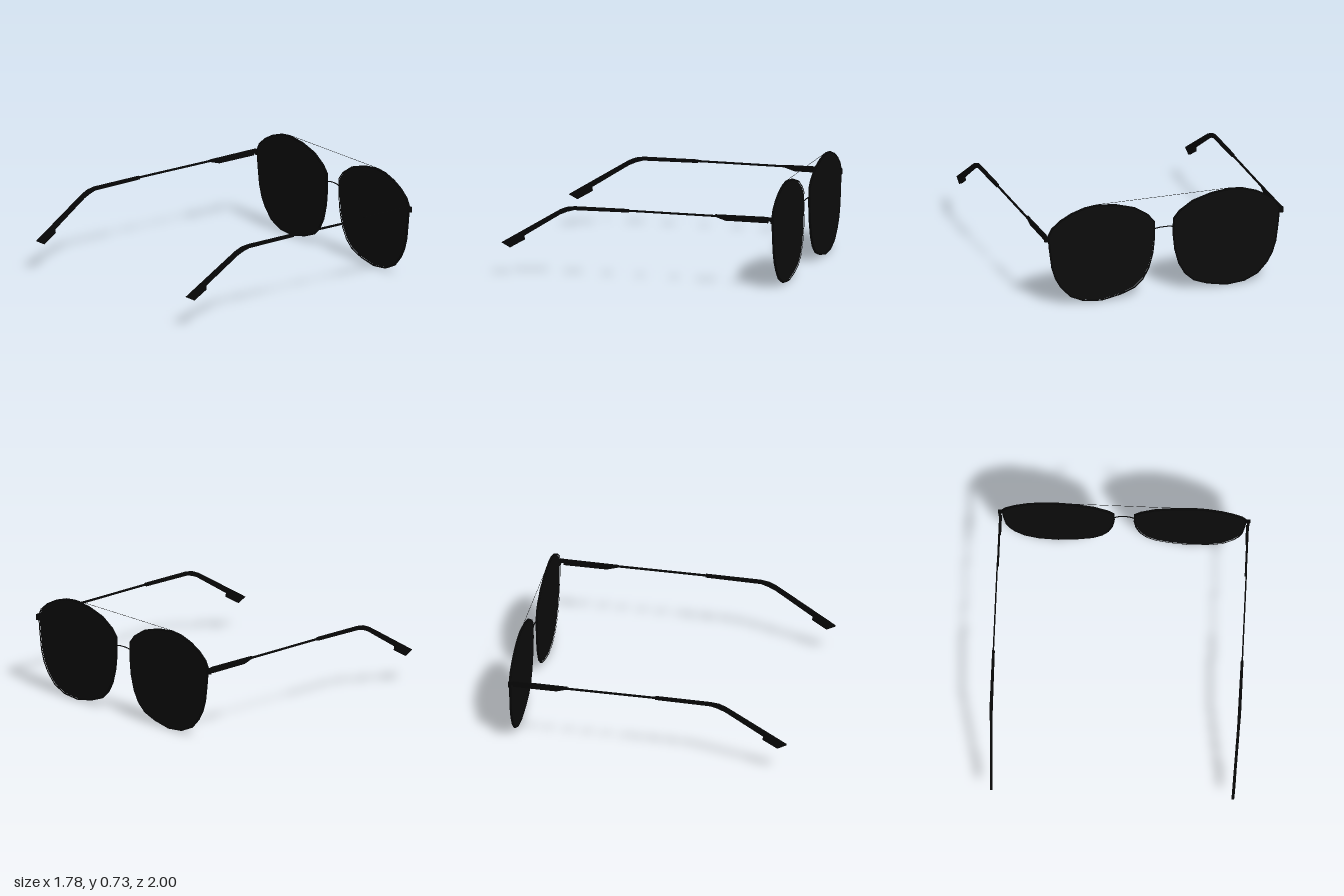
import * as THREE from 'three';

const frameBlack = new THREE.MeshStandardMaterial({ color: 0x060606 });
frameBlack.name = 'frame black';
const lensBlack = new THREE.MeshStandardMaterial({ color: 0x0c0c0c });
lensBlack.name = 'lens smoke black';

// lens outline for the +x side, as [x, y]
const OUTLINE = [
  [0.865, 0.54], [0.856, 0.435], [0.837, 0.29], [0.81, 0.205], [0.77, 0.135], [0.70, 0.06],
  [0.60, 0.015], [0.465, 0.002], [0.32, 0.03], [0.22, 0.067], [0.155, 0.125], [0.11, 0.205],
  [0.08, 0.315], [0.067, 0.435], [0.07, 0.555], [0.115, 0.61], [0.215, 0.675], [0.355, 0.716],
  [0.50, 0.732], [0.59, 0.722], [0.69, 0.69], [0.775, 0.645], [0.84, 0.59],
];
const CENTRE = [0.465, 0.37];

// temple side profiles, as [z, y]
const PROFILES = {
  templeFront: { width: 0.014, x: 0.875, points: [
    [-0.965, 0.543], [-0.965, 0.5], [-0.652, 0.5], [-0.62, 0.51], [-0.575, 0.524], [-0.575, 0.54]] },
  templeWire: { width: 0.01, x: 0.879, points: [
    [-0.6, 0.536], [-0.6, 0.523], [0.08, 0.523], [0.08, 0.536]] },
  templeEnd: { width: 0.019, x: 0.878, points: [
    [0.06, 0.54], [0.06, 0.518], [0.46, 0.512], [0.51, 0.497], [0.56, 0.475], [0.6, 0.45],
    [0.834, 0.3], [0.83, 0.273], [0.936, 0.21], [1.0, 0.243], [0.62, 0.476], [0.567, 0.508],
    [0.52, 0.528], [0.46, 0.537]] },
};

function mesh(name, geometry, material, parent) {
  const m = new THREE.Mesh(geometry, material);
  m.name = name;
  parent.add(m);
  return m;
}

// outline mirrored to a side and shrunk towards its middle
function outline(side, inset) {
  return OUTLINE.map(([x, y]) => {
    const dx = x - CENTRE[0], dy = y - CENTRE[1];
    const k = 1 - inset / Math.hypot(dx, dy);
    return new THREE.Vector2(side * (CENTRE[0] + dx * k), CENTRE[1] + dy * k);
  });
}

function plate(shape, depth, z) {
  const g = new THREE.ExtrudeGeometry(shape, { depth, bevelEnabled: false });
  g.translate(0, 0, z - depth / 2);
  return g;
}

// side profile given width, with the far end leaning inwards
function templePart({ width, x, points }, side) {
  const shape = new THREE.Shape(points.map(([z, y]) => new THREE.Vector2(z, y)));
  const g = plate(shape, width, 0);
  g.rotateY(-Math.PI / 2);
  const p = g.attributes.position;
  for (let i = 0; i < p.count; i++) {
    const lean = Math.max(0, p.getZ(i) - 0.46) * 0.048;
    p.setX(i, p.getX(i) + side * (x - lean));
  }
  g.computeVertexNormals();
  return g;
}

export function createModel() {
  const model = new THREE.Group();
  model.name = 'sunglasses';

  for (const side of [1, -1]) {
    const label = side > 0 ? 'left' : 'right';

    // lens with its thin rim
    const rim = new THREE.Shape(outline(side, 0));
    rim.holes.push(new THREE.Path(outline(side, 0.011)));
    mesh(label + 'Rim', plate(rim, 0.014, -0.991), frameBlack, model);
    mesh(label + 'Lens', plate(new THREE.Shape(outline(side, 0.01)), 0.007, -0.991), lensBlack, model);

    // end piece joining rim and temple
    const end = mesh(label + 'EndPiece', new THREE.BoxGeometry(0.036, 0.04, 0.014), frameBlack, model);
    end.position.set(side * 0.872, 0.518, -0.991);
    const hinge = mesh(label + 'Hinge', new THREE.BoxGeometry(0.014, 0.028, 0.03), frameBlack, model);
    hinge.position.set(side * 0.879, 0.527, -0.974);

    // temple arm with inner hinge plate
    const temple = new THREE.Group();
    temple.name = label + 'Temple';
    for (const [name, profile] of Object.entries(PROFILES)) {
      mesh(name, templePart(profile, side), frameBlack, temple);
    }
    const inner = mesh('hingePlate', new THREE.BoxGeometry(0.01, 0.028, 0.14), frameBlack, temple);
    inner.position.set(side * 0.867, 0.52, -0.89);
    model.add(temple);
  }

  // arched bridge
  const arch = new THREE.CatmullRomCurve3([
    new THREE.Vector3(-0.072, 0.493, -0.988), new THREE.Vector3(-0.04, 0.501, -0.994),
    new THREE.Vector3(0, 0.503, -0.996), new THREE.Vector3(0.04, 0.501, -0.994),
    new THREE.Vector3(0.072, 0.493, -0.988),
  ]);
  mesh('bridge', new THREE.TubeGeometry(arch, 16, 0.004, 8), frameBlack, model);

  // hair-thin brow wire
  const wire = mesh('browWire', new THREE.BoxGeometry(1.0, 0.002, 0.002), frameBlack, model);
  wire.position.set(0, 0.733, -0.991);

  return model;
}
